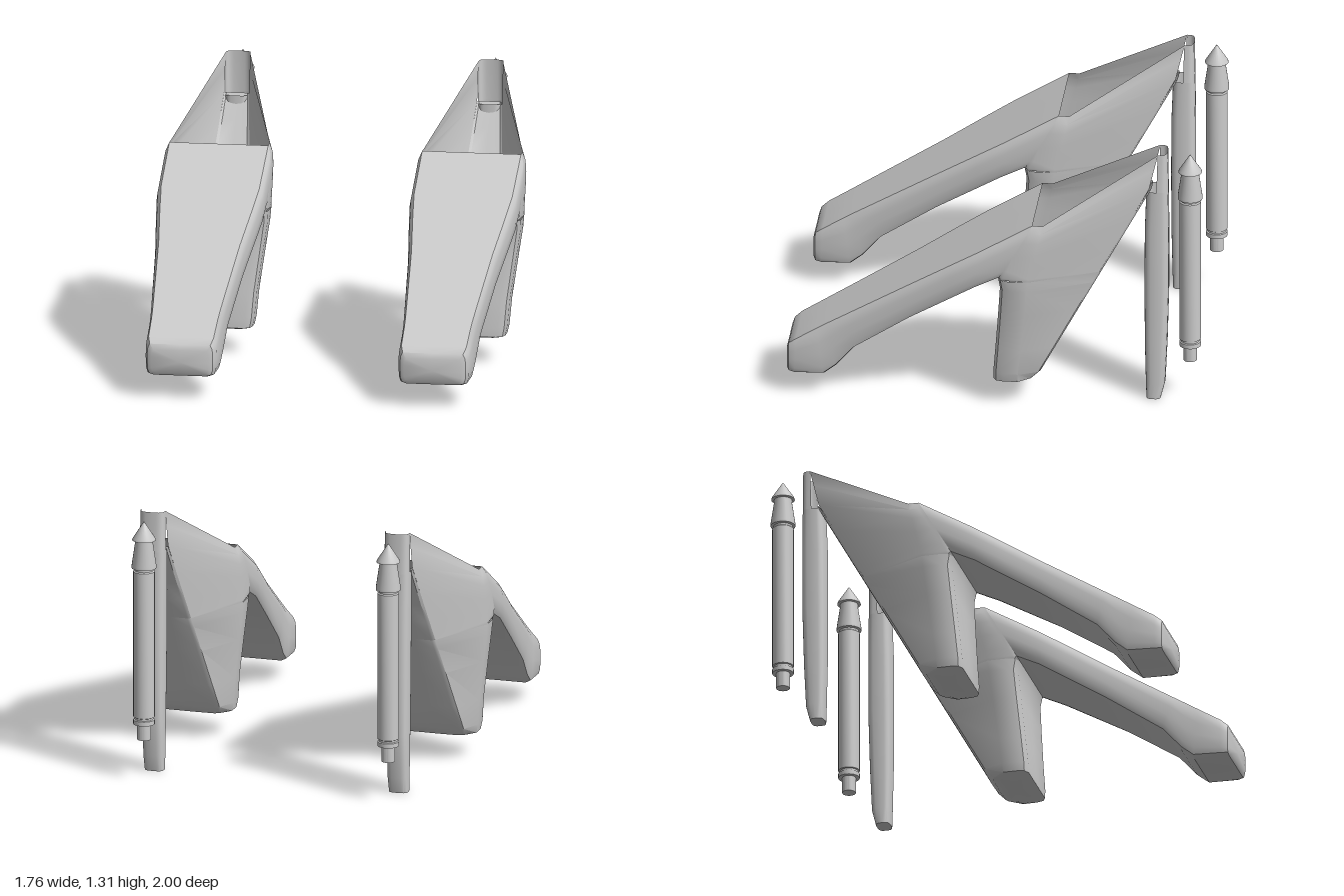
import * as THREE from 'three';
import { toCreasedNormals } from 'three/addons/utils/BufferGeometryUtils.js';

const material = new THREE.MeshStandardMaterial({ color: 0xcccccc, side: THREE.DoubleSide });
const lerp = THREE.MathUtils.lerp;

// Skin neighbouring rows of [x, y, z] points; every row has the same length.
function loft(rows, { closed = false, capStart = false, flip = false } = {}) {
  const n = rows[0].length;
  const pos = rows.flat(2);
  const index = [];
  const tri = (a, b, c) => (flip ? index.push(a, c, b) : index.push(a, b, c));
  for (let r = 0; r < rows.length - 1; r++) {
    for (let i = 0; i < (closed ? n : n - 1); i++) {
      const j = (i + 1) % n, a = r * n + i, b = r * n + j;
      tri(a, b, a + n);
      tri(b, b + n, a + n);
    }
  }
  if (capStart) {
    const c = pos.length / 3;
    for (let k = 0; k < 3; k++) pos.push(rows[0].reduce((s, p) => s + p[k], 0) / n);
    for (let i = 0; i < n; i++) tri(c, (i + 1) % n, i);
  }
  const g = new THREE.BufferGeometry();
  g.setAttribute('position', new THREE.Float32BufferAttribute(pos, 3));
  g.setIndex(index);
  return toCreasedNormals(g, 0.6);
}

function mesh(name, geometry) {
  const m = new THREE.Mesh(geometry, material);
  m.name = name;
  return m;
}

// Append the x-mirrored points, skipping those on the middle line.
const mirrorRing = half => [...half, ...half.slice(1, -1).reverse().map(([x, y, z]) => [-x, y, z])];

// Rounded section of the vamp: [width factor, height fraction]
const SECTION = [[0, 0], [0.8, 0], [0.94, 0.05], [0.99, 0.18], [1, 0.45], [1, 0.7], [0.98, 0.87], [0.92, 1], [0, 1]];
// Vamp stations: top z, top y, bottom z, bottom y, half width
const STATIONS = [
  [1.0, 0.235, 1.0, 0.125, 0.14], [0.99, 0.262, 0.99, 0.11, 0.16], [0.955, 0.29, 0.96, 0.105, 0.172],
  [0.85, 0.355, 0.82, 0.107, 0.175], [0.8, 0.386, 0.76, 0.155, 0.178], [0.72, 0.434, 0.67, 0.26, 0.185],
  [0.4, 0.627, 0.4, 0.445, 0.215], [0.2, 0.75, 0.2, 0.568, 0.243], [0.06, 0.835, 0.08, 0.642, 0.26],
  [-0.2, 0.99, -0.03, 0.695, 0.262],
];
const station = ([tz, ty, bz, by, w]) => SECTION.map(([f, s]) => [f * w, lerp(by, ty, s), lerp(bz, tz, s)]);

// Slanted back wall: depth and half width by height
const backZ = y => (y < 1.12 ? -0.22 - (y - 0.17) * 0.552 : lerp(-0.745, -0.79, (y - 1.12) / 0.19));
const backX = y => lerp(0.155, 0.06, Math.min(1, (y - 0.17) / 0.95));

// Block under the instep: y, front z, back z, half width, back half width
function lowerShell() {
  const rows = [
    [0.12, -0.02, -0.15, 0.165, 0.12], [0.127, -0.003, -0.18, 0.188, 0.14], [0.17, -0.003, -0.22, 0.197, 0.155],
    [0.3, -0.014, backZ(0.3), 0.208, backX(0.3)], [0.5, -0.03, backZ(0.5), 0.236, backX(0.5)],
    [0.64, -0.04, backZ(0.64), 0.256, backX(0.64)], [0.695, -0.03, backZ(0.695), 0.26, backX(0.695)],
  ].map(([y, zf, zb, w, bx]) => mirrorRing([
    [0, y, zf], [0.806 * w, y, zf], [0.95 * w, y, zf - 0.015], [w, y, zf - 0.05],
    [w, y, lerp(-0.12, -0.18, (y - 0.12) / 0.575)], [bx, y, zb], [bx * 0.85, y, zb - 0.01], [0, y, zb - 0.012],
  ]));
  return loft(rows, { closed: true, capStart: true, flip: true });
}

// Side of the open quarter, from the vamp edge to the heel stem
function quarterRows(side) {
  const end = station(STATIONS[STATIONS.length - 1]);
  return SECTION.slice(1, -1).map(([, s], i) => {
    const [x, y, z] = end[i + 1];
    const w = Math.max(x, s < 0.5 ? 0.26 : 0);
    const by = lerp(0.695, 1.31, s);
    const row = [[x, y, z], [lerp(x, w, 0.8), y, z - 0.02], [w, y, z - lerp(0.15, 0.05, s)], [backX(by), by, backZ(by)]];
    return row.map(([px, py, pz]) => [px * side, py, pz]);
  });
}

// Back wall between the two quarters, ending where it meets the stem
function backWall() {
  return loft([0.695, 0.8, 0.9, 1.0, 1.07, 1.12].map(y => [1, 0.85, 0, -0.85, -1].map(f => [
    f * backX(y), y, backZ(y) - (Math.abs(f) === 1 ? 0 : f ? 0.01 : 0.012)])));
}

// Hollow stem ring at height y
function stemRing(y, zf, zb, hx, from = 0, to = 24) {
  const row = [];
  for (let i = from; i < to; i++) {
    const a = (i / 24) * Math.PI * 2, p = v => Math.sign(v) * Math.abs(v) ** 0.6;
    row.push([hx * p(Math.cos(a)), y, (zf + zb) / 2 + ((zf - zb) / 2) * p(Math.sin(a))]);
  }
  return row;
}

function createShoe() {
  const shoe = new THREE.Group();
  shoe.add(mesh('vamp', loft(STATIONS.map(s => mirrorRing(station(s))), { closed: true, capStart: true })));
  shoe.add(mesh('instepBlock', lowerShell()));
  shoe.add(mesh('leftQuarter', loft(quarterRows(1), { flip: true })));
  shoe.add(mesh('rightQuarter', loft(quarterRows(-1))));
  shoe.add(mesh('backWall', backWall()));

  // Heel stem: full tube below, only the rear half above the opening
  shoe.add(mesh('heelStem', loft([
    stemRing(0, -0.73, -0.8, 0.047), stemRing(0.08, -0.727, -0.82, 0.05), stemRing(0.3, -0.722, -0.83, 0.053),
    stemRing(0.6, -0.72, -0.838, 0.057), stemRing(0.9, -0.722, -0.838, 0.06), stemRing(1.11, -0.73, -0.835, 0.061),
  ], { closed: true, capStart: true, flip: true })));
  shoe.add(mesh('heelStemTop', loft([
    stemRing(1.11, -0.73, -0.835, 0.061, 12, 25), stemRing(1.31, -0.745, -0.832, 0.06, 12, 25),
  ], { flip: true })));

  // Pointed rod standing behind the heel
  const profile = [
    [0, 0.2], [0.033, 0.2], [0.033, 0.278], [0.052, 0.278], [0.052, 0.3], [0.046, 0.303], [0.046, 0.312],
    [0.052, 0.315], [0.052, 1.045], [0.046, 1.05], [0.046, 1.06], [0.06, 1.062], [0.06, 1.075],
    [0.043, 1.19], [0.043, 1.2], [0.057, 1.202], [0.054, 1.212], [0, 1.295],
  ].map(([r, y]) => new THREE.Vector2(r, y));
  const rod = mesh('heelRod', toCreasedNormals(new THREE.LatheGeometry(profile, 24), 0.5));
  rod.position.z = -0.94;
  shoe.add(rod);
  return shoe;
}

export function createModel() {
  const model = new THREE.Group();
  model.name = 'pairOfShoes';
  for (const side of [1, -1]) {
    const shoe = createShoe();
    shoe.name = side > 0 ? 'leftShoe' : 'rightShoe';
    shoe.position.x = side * 0.617;
    model.add(shoe);
  }
  return model;
}
